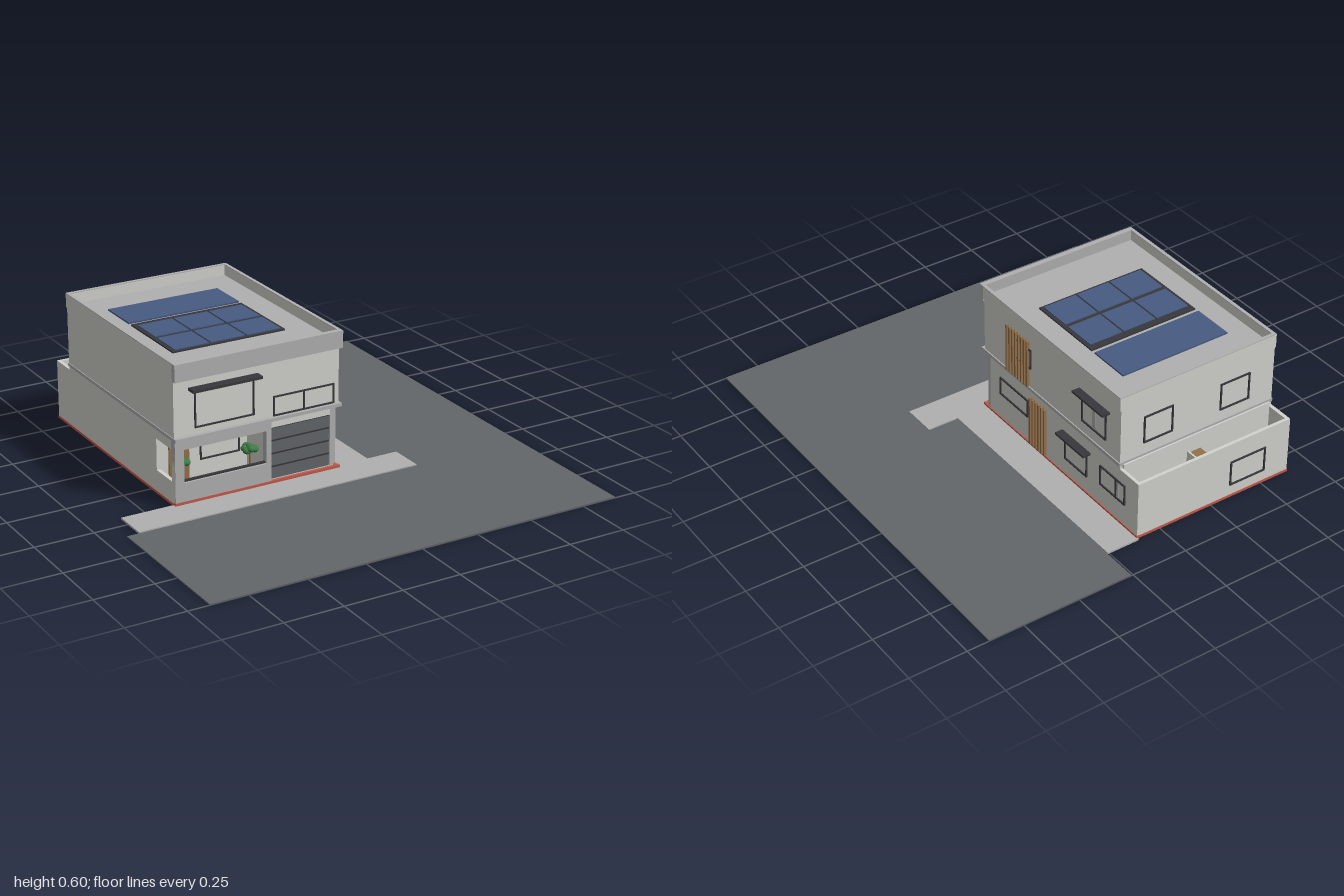
import * as THREE from 'three';

const mat = (name, color) => {
  const m = new THREE.MeshStandardMaterial({ color });
  m.name = name;
  return m;
};

export function createModel() {
  const house = new THREE.Group();
  house.name = 'house';
  const wall = mat('plaster', 0xd2d3cd);
  const concrete = mat('concrete', 0xb0b0b0);
  const asphalt = mat('asphalt', 0x62666a);
  const dark = mat('dark metal', 0x38383c);
  const wood = mat('wood', 0x94704a);
  const blue = mat('solar blue', 0x475a80);
  const red = mat('red base', 0xc4594a);
  const green = mat('foliage', 0x3f7d48);

  // Box given by its limits on each axis
  const box = (name, m, x0, x1, y0, y1, z0, z1, parent = house) => {
    const mesh = new THREE.Mesh(new THREE.BoxGeometry(x1 - x0, y1 - y0, z1 - z0), m);
    mesh.position.set((x0 + x1) / 2, (y0 + y1) / 2, (z0 + z1) / 2);
    mesh.name = name;
    parent.add(mesh);
    return mesh;
  };

  // Rectangle with rectangular holes, each given as [u0, u1, v0, v1]
  const outline = (Type, [u0, u1, v0, v1]) => {
    const s = new Type();
    s.moveTo(u0, v0);
    s.lineTo(u1, v0);
    s.lineTo(u1, v1);
    s.lineTo(u0, v1);
    s.closePath();
    return s;
  };
  const panel = (name, m, rect, holes, depth) => {
    const shape = outline(THREE.Shape, rect);
    for (const h of holes) shape.holes.push(outline(THREE.Path, h));
    const mesh = new THREE.Mesh(new THREE.ExtrudeGeometry(shape, { depth, bevelEnabled: false }), m);
    mesh.name = name;
    house.add(mesh);
    return mesh;
  };

  // Window frame on a wall: side is front, left (+x) or back; a0 < a1 along the wall
  const windowFrame = (name, side, at, a0, a1, y0, y1, mullions = []) => {
    const flip = side === 'front' ? 1 : -1;
    const [u0, u1] = flip > 0 ? [a0, a1] : [-a1, -a0];
    const t = 0.006;
    const cuts = [u0, ...mullions.map((v) => v * flip).sort((a, b) => a - b), u1];
    const holes = [];
    for (let i = 0; i < cuts.length - 1; i++) {
      holes.push([cuts[i] + (i ? t / 2 : t), cuts[i + 1] - (i === cuts.length - 2 ? t : t / 2), y0 + t, y1 - t]);
    }
    const mesh = panel(name, dark, [u0, u1, y0, y1], holes, 0.006);
    if (side === 'left') {
      mesh.rotation.y = Math.PI / 2;
      mesh.position.x = at;
    } else {
      if (side === 'back') mesh.rotation.y = Math.PI;
      mesh.position.z = at;
    }
  };

  // Streets and pavements
  box('frontStreet', asphalt, -0.91, 0.905, 0, 0.005, 0.35, 1);
  box('sideStreet', asphalt, 0.26, 0.905, 0, 0.005, -1, 0.35);
  box('frontPavement', concrete, -0.86, 0.4, 0.002, 0.01, 0.2, 0.35);
  box('sidePavement', concrete, 0.112, 0.26, 0.002, 0.01, -0.85, 0.2);

  // Ground slab with a floor opening
  const slab = panel('groundSlab', concrete, [-0.625, 0.112, -0.21, 0.835], [[-0.61, -0.37, 0.37, 0.52]], 0.01);
  slab.rotation.x = -Math.PI / 2;
  slab.position.y = 0.002;

  // Red strip around the foot of the walls
  box('baseStripFront', red, -0.632, 0.117, 0.008, 0.021, 0.205, 0.218);
  box('baseStripBack', red, -0.632, 0.117, 0.005, 0.016, -0.842, -0.83);
  box('baseStripLeft', red, 0.105, 0.117, 0.008, 0.018, -0.842, 0.218);
  box('baseStripRight', red, -0.632, -0.62, 0.005, 0.016, -0.842, 0.218);

  // Ground floor walls; the right one is open beside the porch
  const rightWall = panel('rightWall', wall, [-0.215, 0.72, 0.005, 0.285], [[-0.19, -0.06, 0.105, 0.24]], 0.016);
  rightWall.rotation.y = Math.PI / 2;
  rightWall.position.x = -0.63;
  box('leftWall', wall, 0.099, 0.113, 0.005, 0.285, -0.72, 0.185);
  box('patioLeftWall', wall, 0.099, 0.113, 0.005, 0.265, -0.84, -0.72);
  box('patioRightWall', wall, -0.63, -0.614, 0.005, 0.265, -0.84, -0.72);
  box('patioBackWall', wall, -0.63, 0.113, 0.005, 0.265, -0.84, -0.826);
  box('rearWall', wall, -0.615, 0.1, 0.01, 0.285, -0.73, -0.715);
  box('porchBackWall', wall, -0.615, -0.2, 0.01, 0.285, 0.03, 0.045);
  box('porchSideWall', wall, -0.215, -0.2, 0.01, 0.285, 0.045, 0.185);

  // Porch front frame, rail and entrance
  panel('porchFrame', concrete, [-0.63, -0.2, 0.015, 0.285], [[-0.59, -0.222, 0.1, 0.24]], 0.03).position.z = 0.186;
  box('porchRail', dark, -0.59, -0.222, 0.1, 0.107, 0.195, 0.207);
  box('porchFloor', concrete, -0.614, -0.215, 0.012, 0.02, 0.045, 0.186);
  box('frontDoor', wood, -0.57, -0.48, 0.02, 0.21, 0.045, 0.051);
  windowFrame('porchWindow', 'front', 0.045, -0.43, -0.25, 0.1, 0.21);

  // Garage
  box('garageLintel', wall, -0.2, 0.113, 0.235, 0.285, 0.17, 0.187);
  box('garagePier', concrete, 0.087, 0.113, 0.015, 0.285, 0.17, 0.188);
  box('garageJamb', concrete, -0.2, -0.188, 0.015, 0.235, 0.17, 0.187);
  box('garageDoor', asphalt, -0.19, 0.088, 0.012, 0.236, 0.168, 0.18);
  for (let i = 0; i < 4; i++) {
    const y = 0.065 + i * 0.056;
    box('garageDoorGroove', dark, -0.188, 0.087, y - 0.003, y + 0.003, 0.18, 0.183);
  }

  // Upper floor, ledge and parapet
  box('upperFloor', wall, -0.63, 0.113, 0.28, 0.55, -0.72, 0.21);
  box('ledge', concrete, -0.633, 0.118, 0.28, 0.294, -0.723, 0.228);
  box('roof', concrete, -0.62, 0.11, 0.55, 0.555, -0.71, 0.21);
  box('parapetFront', concrete, -0.633, 0.12, 0.53, 0.603, 0.208, 0.23);
  box('parapetBack', wall, -0.633, 0.12, 0.54, 0.6, -0.723, -0.708);
  for (const [name, x] of [['parapetLeft', 0.105], ['parapetRight', -0.633]]) {
    box(name, wall, x, x + 0.015, 0.54, 0.6, -0.708, 0.208);
    box('parapetCap', concrete, x, x + 0.015, 0.6, 0.603, -0.708, 0.208);
  }
  box('parapetCap', concrete, -0.633, 0.12, 0.6, 0.603, -0.723, -0.708);

  // Solar panels
  box('solarCollector', blue, -0.52, -0.012, 0.555, 0.562, -0.56, -0.375);
  box('solarFrame', dark, -0.52, -0.012, 0.555, 0.561, -0.355, 0.003);
  for (let i = 0; i < 3; i++) {
    for (let j = 0; j < 2; j++) {
      const x = -0.505 + i * 0.162;
      const z = -0.325 + j * 0.168;
      box('solarPanel', blue, x, x + 0.154, 0.561, 0.565, z, z + 0.148);
    }
  }

  // Windows
  windowFrame('upperFrontWindow', 'front', 0.21, -0.54, -0.275, 0.32, 0.48);
  windowFrame('upperWideWindow', 'front', 0.21, -0.19, 0.09, 0.295, 0.38, [-0.05]);
  windowFrame('garageSideWindow', 'left', 0.113, -0.105, 0.097, 0.136, 0.22);
  windowFrame('kitchenWindow', 'left', 0.113, -0.51, -0.36, 0.092, 0.21);
  windowFrame('patioWindow', 'left', 0.113, -0.76, -0.595, 0.115, 0.208, [-0.7]);
  windowFrame('stairWindow', 'left', 0.113, -0.125, -0.015, 0.385, 0.477);
  windowFrame('bedroomWindow', 'left', 0.113, -0.63, -0.47, 0.347, 0.482);
  windowFrame('patioBackWindow', 'back', -0.84, -0.51, -0.335, 0.065, 0.18);
  windowFrame('upperBackWindow', 'back', -0.72, -0.135, 0.005, 0.345, 0.47);
  windowFrame('upperBackWindow', 'back', -0.72, -0.51, -0.365, 0.345, 0.47);
  box('windowStrip', concrete, 0.11, 0.115, 0.352, 0.477, -0.56, -0.538);
  box('windowStrip', concrete, 0.11, 0.115, 0.12, 0.203, -0.715, -0.703);

  // Awnings
  box('frontAwning', dark, -0.565, -0.257, 0.481, 0.492, 0.21, 0.252);
  box('bedroomAwning', dark, 0.11, 0.15, 0.482, 0.491, -0.65, -0.45);
  box('kitchenAwning', dark, 0.11, 0.15, 0.213, 0.222, -0.53, -0.34);

  // Vertical wooden slats
  const slats = (count, z0, z1, y0, y1) => {
    for (let i = 0; i < count; i++) {
      const z = z0 + ((z1 - z0) * i) / (count - 1);
      box('slat', wood, 0.112, 0.126, y0, y1, z - 0.004, z + 0.004);
    }
  };
  slats(8, -0.107, 0.036, 0.296, 0.512);
  slats(6, -0.227, -0.127, 0.022, 0.25);

  // Back patio fittings
  box('patioFloor', wall, -0.614, 0.1, 0.012, 0.02, -0.826, -0.73);
  box('patioPartition', wall, -0.213, -0.205, 0.02, 0.22, -0.826, -0.73);
  box('washCounter', concrete, -0.6, -0.48, 0.02, 0.12, -0.81, -0.731);
  box('washBasin', wall, -0.585, -0.495, 0.12, 0.124, -0.8, -0.765);
  box('counterEdge', dark, -0.6, -0.48, 0.12, 0.123, -0.815, -0.81);
  box('stool', wood, -0.465, -0.425, 0.02, 0.08, -0.815, -0.77);
  box('cabinet', wood, -0.27, -0.215, 0.02, 0.21, -0.82, -0.731);
  box('bench', wall, -0.185, -0.045, 0.02, 0.08, -0.815, -0.745);
  for (const x of [-0.183, -0.112]) box('benchCushion', concrete, x, x + 0.065, 0.08, 0.086, -0.813, -0.765);

  // Plants: clustered low-poly foliage on a stem
  const plant = (name, x, y, z, r, squash, ground) => {
    const g = new THREE.Group();
    g.name = name;
    g.position.set(x, y, z);
    const stem = new THREE.Mesh(new THREE.CylinderGeometry(r * 0.1, r * 0.15, y - ground, 6), wood);
    stem.name = 'stem';
    stem.position.y = (ground - y) / 2;
    g.add(stem);
    for (let i = 0; i < 8; i++) {
      const a = i * 0.9;
      const d = i === 7 ? 0 : r * 0.55;
      const leaf = new THREE.Mesh(new THREE.IcosahedronGeometry(r * 0.45, 1), green);
      leaf.name = 'foliage';
      leaf.scale.y = squash;
      leaf.position.set(Math.cos(a) * d, (i === 7 ? 0.4 : (i % 3) * 0.15) * r * squash, Math.sin(a) * d);
      g.add(leaf);
    }
    house.add(g);
  };
  plant('porchPlant', -0.562, 0.152, 0.14, 0.038, 0.8, 0.02);
  plant('porchPlant', -0.255, 0.142, 0.14, 0.038, 0.8, 0.02);
  plant('patioBush', 0.053, 0.13, -0.78, 0.047, 1, 0.02);

  return house;
}
